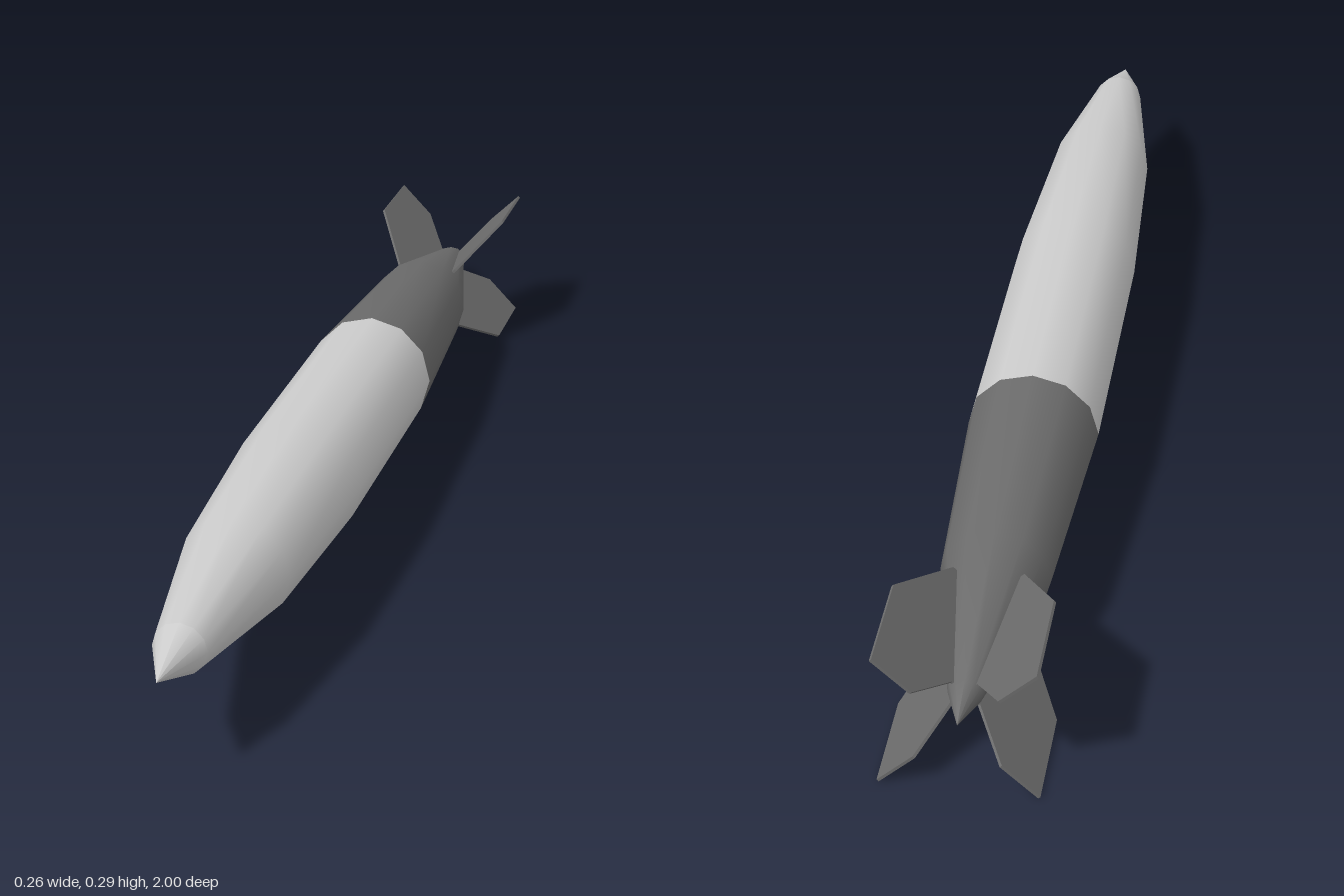
import * as THREE from 'three';

const SIDES = 12;
const light = new THREE.MeshStandardMaterial({ color: 0xcccccc });
const dark = new THREE.MeshStandardMaterial({ color: 0x6b6b6b });

// Turned section of the hull; profile is [radius, z] from tail to nose.
function turned(name, profile, material) {
  const points = profile.map(([r, z]) => new THREE.Vector2(r, z));
  const geometry = new THREE.LatheGeometry(points, SIDES).rotateX(Math.PI / 2);
  const mesh = new THREE.Mesh(geometry, material);
  mesh.name = name;
  return mesh;
}

// Thin swept fin lying along the hull axis, turned to the given angle.
function fin(name, angle) {
  const outline = [[0.03, -0.70], [0.084, -0.70], [0.18, -0.83], [0.18, -1], [0.096, -1], [0.03, -0.92], [0.015, -0.92]];
  const shape = new THREE.Shape(outline.map(([r, z]) => new THREE.Vector2(r, z)));
  const depth = 0.005;
  const geometry = new THREE.ExtrudeGeometry(shape, { depth, bevelEnabled: false });
  geometry.translate(0, 0, -depth / 2).rotateX(Math.PI / 2).rotateZ(angle);
  const mesh = new THREE.Mesh(geometry, dark);
  mesh.name = name;
  return mesh;
}

export function createModel() {
  const model = new THREE.Group();
  model.name = 'rocket';

  // The whole hull is pitched slightly nose-up.
  const hull = new THREE.Group();
  hull.name = 'hull';
  hull.position.y = 0.166;
  hull.rotation.x = -0.035;
  model.add(hull);

  // Nose cone, main body and dark tail section
  hull.add(
    turned('noseCone', [[0.045, 0.89], [0, 1]], light),
    turned('body', [[0.115, -0.25], [0.114, 0.25], [0.094, 0.615], [0.045, 0.89]], light),
    turned('tailSection', [[0, -0.99], [0.028, -0.92], [0.092, -0.64], [0.115, -0.25]], dark),
  );

  // Four diagonal fins
  ['upperLeftFin', 'upperRightFin', 'lowerRightFin', 'lowerLeftFin'].forEach((name, i) => {
    hull.add(fin(name, Math.PI / 4 + (i * Math.PI) / 2));
  });

  return model;
}
